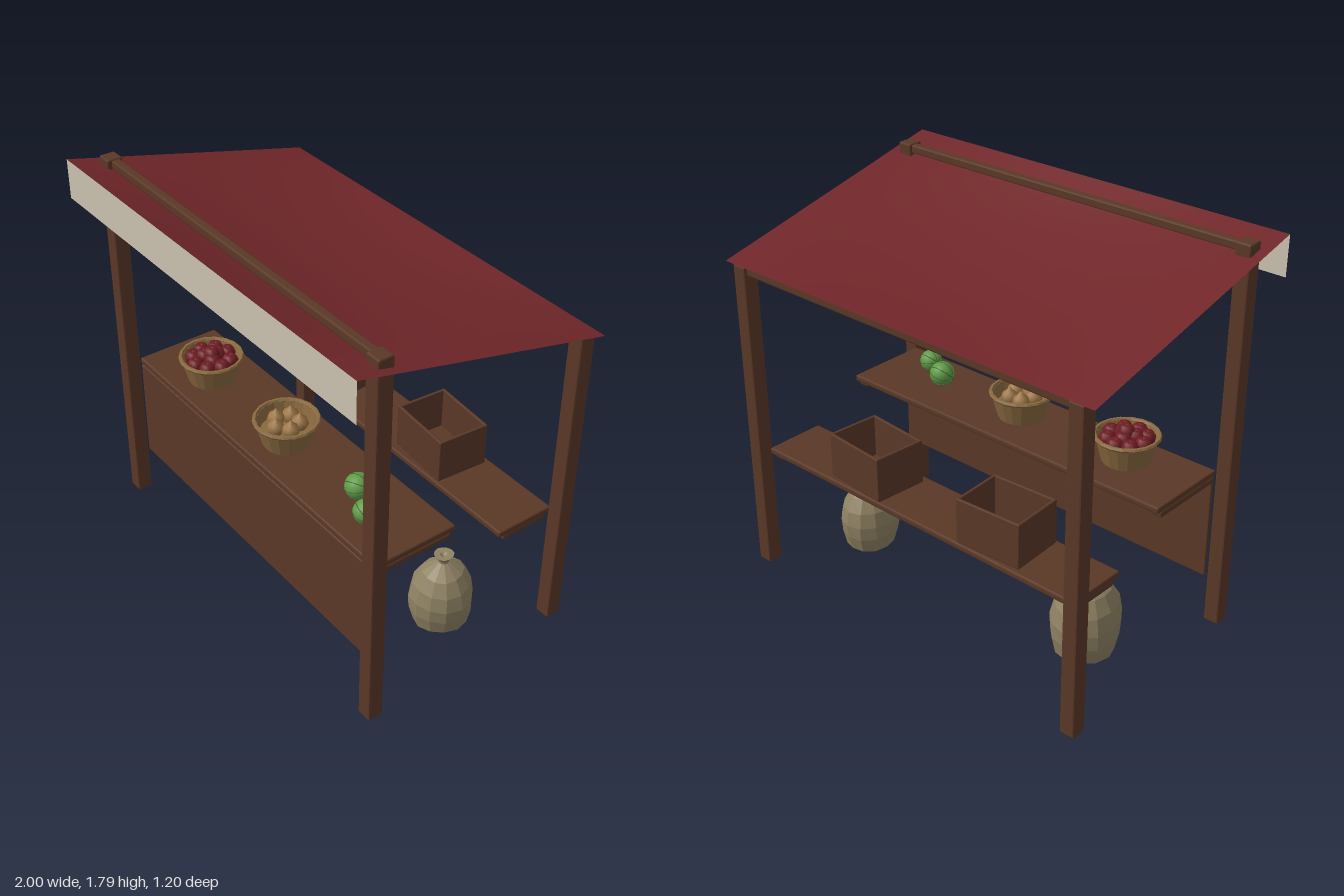
import * as THREE from 'three';
import { RoundedBoxGeometry } from 'three/addons/geometries/RoundedBoxGeometry.js';

const paint = (name, color, extra = {}) => {
  const m = new THREE.MeshStandardMaterial({ color, ...extra });
  m.name = name;
  return m;
};

export function createModel() {
  const model = new THREE.Group();
  model.name = 'marketStall';
  const both = { side: THREE.DoubleSide };
  const flat = { flatShading: true };
  const wood = paint('brownWood', 0x5a3826, flat);
  const cloth = paint('redCloth', 0x702629, both);
  const cream = paint('creamCloth', 0xcbc3b0, both);
  const wicker = paint('wicker', 0x8a6a3f, { ...both, ...flat });
  const burlap = paint('burlap', 0x8f8263, flat);
  const red = paint('appleRed', 0x6e1c22);
  const tan = paint('onionTan', 0x9c7645);
  const green = paint('melonGreen', 0x5f9b47);
  const darkGreen = paint('melonStripe', 0x3c6a2e);

  const add = (name, geo, mat, parent = model) => {
    const mesh = new THREE.Mesh(geo, mat);
    mesh.name = name;
    parent.add(mesh);
    return mesh;
  };
  const group = (name, x, y, z, ry = 0) => {
    const g = new THREE.Group();
    g.name = name;
    g.position.set(x, y, z);
    g.rotation.y = ry;
    model.add(g);
    return g;
  };
  // Timber with slightly chamfered edges, given by its limits
  const beam = (name, [x0, x1], [y0, y1], [z0, z1], parent = model) => {
    const w = x1 - x0, h = y1 - y0, d = z1 - z0;
    const r = Math.min(0.007, Math.min(w, h, d) * 0.3);
    const m = add(name, new RoundedBoxGeometry(w, h, d, 1, r), wood, parent);
    m.position.set((x0 + x1) / 2, (y0 + y1) / 2, (z0 + z1) / 2);
    return m;
  };
  const lathe = (pts, sides) =>
    new THREE.LatheGeometry(pts.map(([r, y]) => new THREE.Vector2(r, y)), sides);

  // Frame
  for (const s of [-1, 1]) {
    const xs = [s * 0.917 - 0.036, s * 0.917 + 0.036];
    beam('frontPost', xs, [0.01, 1.8], [0.4, 0.472]);
    beam('backPost', xs, [0.01, 1.505], [-0.6, -0.528]);
    // Cleats under the counter and the shelf
    const cs = [s * 0.855 - 0.025, s * 0.855 + 0.025];
    beam('counterCleat', cs, [0.717, 0.746], [0.02, 0.385]);
    beam('shelfCleat', cs, [0.548, 0.578], [-0.515, -0.28]);
  }
  beam('frontBeam', [-0.9, 0.9], [1.755, 1.795], [0.412, 0.452]);
  beam('backBeam', [-0.9, 0.9], [1.462, 1.502], [-0.585, -0.545]);

  // Counter, front panel and back shelf
  beam('counterTop', [-0.88, 0.88], [0.745, 0.775], [-0.005, 0.402]);
  beam('frontPanel', [-0.875, 0.875], [0.245, 0.74], [0.385, 0.402]);
  beam('backShelf', [-0.885, 0.885], [0.577, 0.606], [-0.54, -0.25]);

  // Sagging canopy, straight along its four edges
  const canopy = new THREE.PlaneGeometry(2, 1.2, 24, 16).rotateX(-Math.PI / 2);
  const p = canopy.attributes.position;
  for (let i = 0; i < p.count; i++) {
    const x = p.getX(i), z = p.getZ(i);
    const sag = 0.07 * (1 - x * x) * (1 - (z / 0.6) ** 2);
    p.setY(i, 1.6525 + 0.246 * z - sag);
  }
  canopy.computeVertexNormals();
  add('canopy', canopy, cloth);
  add('valance', new THREE.PlaneGeometry(2, 0.182), cream).position.set(0, 1.709, 0.6);

  // Open crates
  for (const [x, ry] of [[-0.42, 0.06], [0.33, -0.08]]) {
    const g = group('crate', x, 0.606, -0.4, ry);
    const w = 0.16, d = 0.125, h = 0.208, t = 0.014;
    beam('crateBase', [-w, w], [0, t], [-d, d], g);
    for (const s of [-1, 1]) {
      const near = (a) => (s < 0 ? [-a, t - a] : [a - t, a]);
      beam('crateSide', near(w), [0, h], [-d, d], g);
      beam('crateEnd', [-w, w], [0, h], near(d), g);
    }
  }

  // Baskets
  const basket = (name, x) => {
    const g = group(name, x, 0.775, 0.22);
    add('basketBowl', lathe([[0, 0.004], [0.106, 0.004], [0.138, 0.118], [0.128, 0.118], [0.115, 0.06], [0, 0.06]], 18), wicker, g);
    const rim = add('basketRim', new THREE.TorusGeometry(0.138, 0.01, 6, 18), wicker, g);
    rim.rotation.x = Math.PI / 2;
    rim.position.y = 0.12;
    return g;
  };
  const apples = basket('appleBasket', -0.547);
  const appleGeo = lathe([[0, -0.03], [0.018, -0.034], [0.034, -0.016], [0.038, 0.006], [0.026, 0.028], [0.01, 0.031], [0, 0.024]], 10);
  const apple = (r, a, y) =>
    add('apple', appleGeo, red, apples).position.set(r * Math.cos(a), y, r * Math.sin(a));
  for (let i = 0; i < 8; i++) apple(0.085, i * Math.PI / 4, 0.105);
  for (let i = 0; i < 3; i++) apple(0.035, 0.4 + i * Math.PI * 2 / 3, 0.115);
  apple(0.005, 0, 0.136);

  const onions = basket('onionBasket', 0.038);
  const onionGeo = lathe([[0, -0.036], [0.026, -0.028], [0.04, -0.004], [0.032, 0.02], [0.012, 0.036], [0, 0.052]], 10);
  for (let i = 0; i < 5; i++) {
    const a = 0.3 + i * Math.PI * 2 / 5;
    add('onion', onionGeo, tan, onions).position.set(0.056 * Math.cos(a), 0.1, 0.056 * Math.sin(a));
  }

  // Striped melons lying on the counter
  for (const [x, z, r, tilt] of [[0.51, 0.2, 0.057, 0.25], [0.648, 0.27, 0.052, -0.2]]) {
    const g = group('melon', x, 0.775 + r, z, tilt);
    g.rotation.z = Math.PI / 2 + tilt;
    add('melonBody', new THREE.SphereGeometry(r, 16, 12), green, g);
    for (let i = 0; i < 4; i++) {
      const stripe = add('melonStripe', new THREE.TorusGeometry(r, 0.0018, 4, 24), darkGreen, g);
      stripe.rotation.y = i * Math.PI / 4;
    }
  }

  // Tied sacks, their sides pushed in and out a little
  const sack = (x, z, rx, rz, h, turn) => {
    const geo = lathe([[0, 0.02], [0.65, 0.01], [0.84, 0.06], [0.97, 0.25], [1, 0.42], [0.9, 0.6],
      [0.65, 0.76], [0.32, 0.85], [0.17, 0.89], [0.17, 0.92], [0.31, 0.99], [0.12, 0.985], [0, 0.95]], 12);
    const q = geo.attributes.position;
    for (let i = 0; i < q.count; i++) {
      const a = Math.atan2(q.getX(i), q.getZ(i)), y = q.getY(i);
      const k = 1 + 0.04 * Math.sin(3 * a + turn + y * 4);
      q.setXYZ(i, q.getX(i) * k * rx, y * h, q.getZ(i) * k * rz);
    }
    geo.computeVertexNormals();
    add('sack', geo, burlap).position.set(x, 0.003, z);
  };
  sack(-0.625, -0.115, 0.148, 0.168, 0.43, 0.5);
  sack(0.665, -0.152, 0.137, 0.146, 0.385, 2);

  return model;
}
